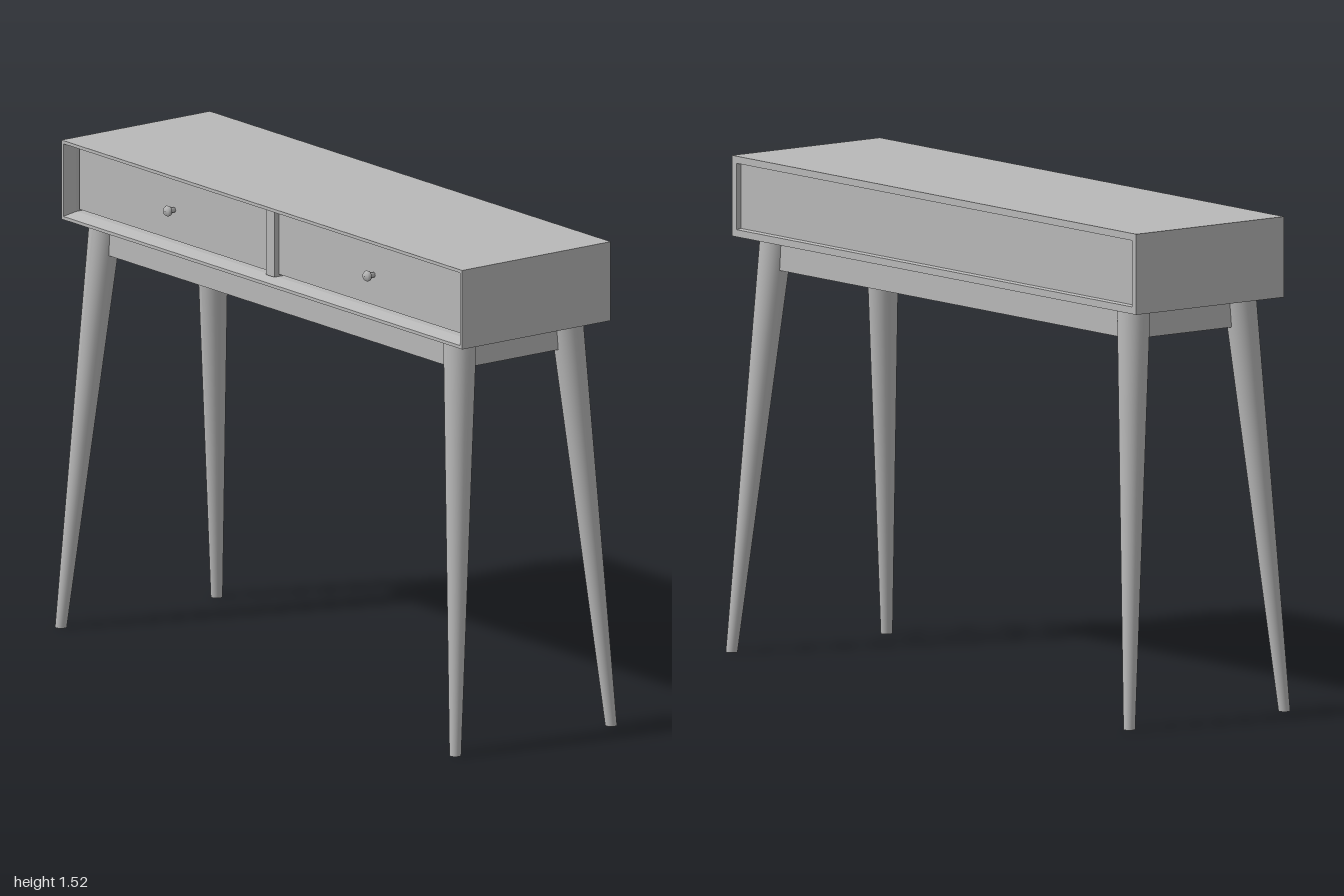
import * as THREE from 'three';

const wood = new THREE.MeshStandardMaterial({ color: 0xb8b8b8 });
wood.name = 'grey finish';

const Y0 = 1.275, Y1 = 1.523, HW = 0.996, HD = 0.285;

function add(group, name, geometry, x = 0, y = 0, z = 0) {
  const mesh = new THREE.Mesh(geometry, wood);
  mesh.name = name;
  mesh.position.set(x, y, z);
  group.add(mesh);
  return mesh;
}

// Rectangular rings joined from back to front, closed at both ends
function loftRings(rings) {
  const loops = rings.map(([inset, z]) => {
    const w = HW - inset, a = Y0 + inset, b = Y1 - inset;
    return [[-w, a, z], [w, a, z], [w, b, z], [-w, b, z]];
  });
  const pos = [];
  const quad = (a, b, c, d) => pos.push(...a, ...b, ...c, ...a, ...c, ...d);
  for (let i = 0; i < loops.length - 1; i++) {
    const p = loops[i], q = loops[i + 1];
    for (let k = 0; k < 4; k++) {
      const n = (k + 1) % 4;
      quad(p[k], p[n], q[n], q[k]);
    }
  }
  const back = loops[0], front = loops[loops.length - 1];
  quad(back[3], back[2], back[1], back[0]);
  quad(...front);
  const g = new THREE.BufferGeometry();
  g.setAttribute('position', new THREE.Float32BufferAttribute(pos, 3));
  g.computeVertexNormals();
  return g;
}

export function createModel() {
  const table = new THREE.Group();
  table.name = 'consoleTable';

  // Case: inset back panel, outer shell, bevelled front opening
  add(table, 'case', loftRings([
    [0.025, -HD + 0.015], [0.022, -HD], [0, -HD],
    [0, HD], [0.01, HD], [0.022, HD - 0.04], [0.022, HD - 0.08],
  ]));

  // Drawers with round knobs, either side of a divider
  const knobProfile = [[0, 0], [0.008, 0], [0.008, 0.014], [0.015, 0.019],
    [0.017, 0.026], [0.013, 0.033], [0, 0.035]].map(([r, h]) => new THREE.Vector2(r, h));
  const drawerFront = HD - 0.045;
  for (const [side, x0, x1] of [['right', -0.965, -0.022], ['left', 0.028, 0.968]]) {
    const cx = (x0 + x1) / 2;
    add(table, side + 'Drawer', new THREE.BoxGeometry(x1 - x0, 0.19, 0.05), cx, 1.4, drawerFront - 0.025);
    add(table, side + 'Knob', new THREE.LatheGeometry(knobProfile, 20), cx, 1.4, drawerFront)
      .rotation.x = Math.PI / 2;
  }
  add(table, 'divider', new THREE.BoxGeometry(0.042, 0.206, 0.06), 0.003, 1.4, HD - 0.06);

  // Apron rails between the legs
  for (const s of [-1, 1]) {
    add(table, s > 0 ? 'frontRail' : 'backRail',
      new THREE.BoxGeometry(1.72, 0.1, 0.036), 0, 1.232, s * 0.205);
    add(table, s > 0 ? 'leftRail' : 'rightRail',
      new THREE.BoxGeometry(0.036, 0.1, 0.38), s * 0.875, 1.232, 0);
  }

  // Splayed, tapered legs: rings slide outwards towards the floor
  for (const sx of [-1, 1]) for (const sz of [-1, 1]) {
    const g = new THREE.CylinderGeometry(0.051, 0.018, 1.28, 24, 4);
    const p = g.attributes.position;
    for (let i = 0; i < p.count; i++) {
      const t = 0.5 - p.getY(i) / 1.28;
      p.setX(i, p.getX(i) + sx * (0.88 + 0.1 * t));
      p.setZ(i, p.getZ(i) + sz * (0.204 + 0.095 * t));
    }
    g.computeVertexNormals();
    add(table, (sz > 0 ? 'front' : 'back') + (sx > 0 ? 'Left' : 'Right') + 'Leg', g, 0, 0.64, 0);
  }

  return table;
}
